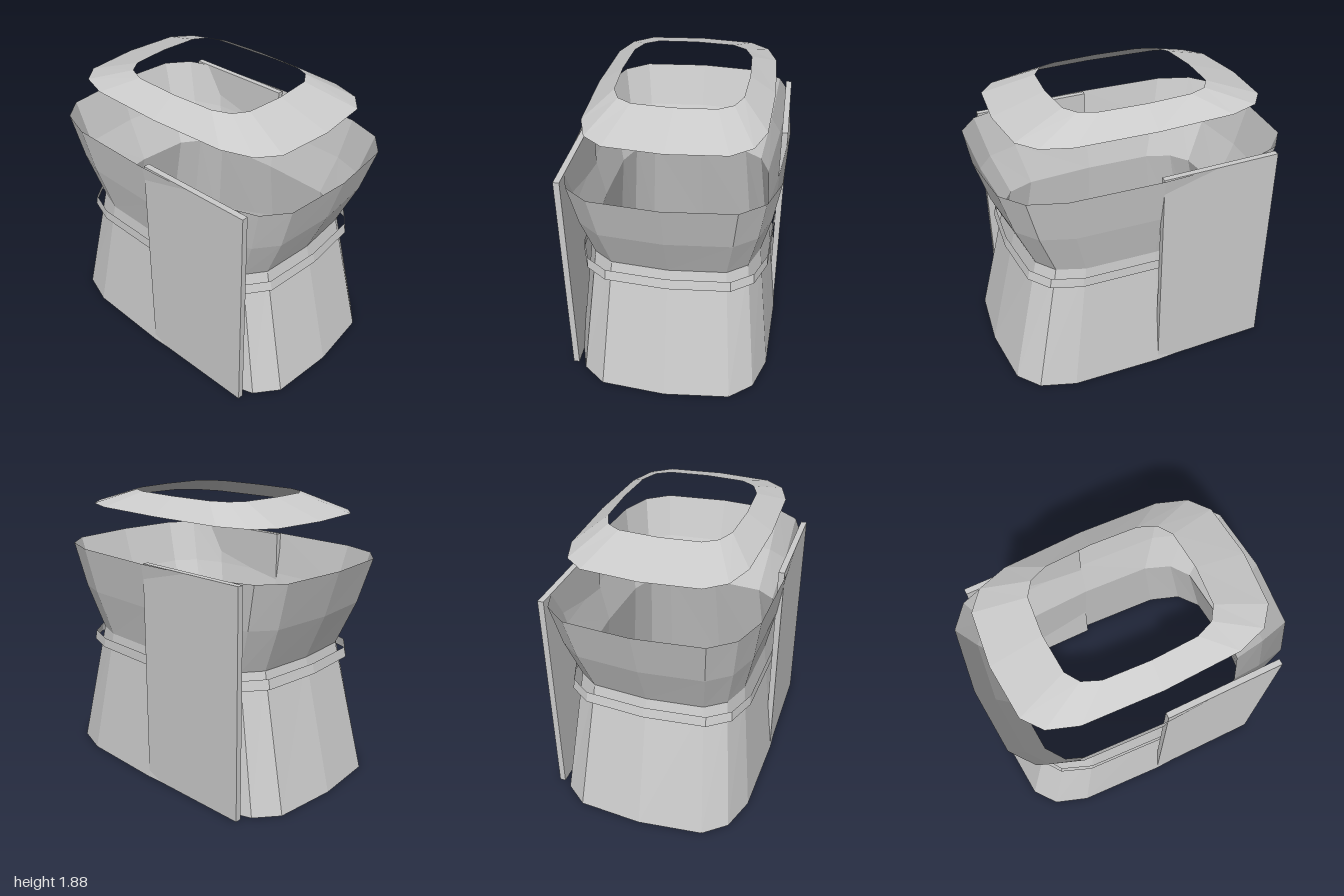
import * as THREE from 'three';

const material = new THREE.MeshStandardMaterial({
  color: 0xcccccc, flatShading: true, side: THREE.DoubleSide,
});

// One quarter of the rounded-rectangle outline, from +x round to just before +z
const QUARTER = [[1, 0], [0.96, 0.63], [0.84, 0.85], [0.61, 0.965]];

// Full 16-point outline, mirrored into four quadrants
function outline() {
  const q = QUARTER;
  const pts = [...q, [0, 1]];
  const half = [...pts, ...q.slice(1).reverse().map(([x, z]) => [-x, z])];
  return [...half, ...half.map(([x, z]) => [-x, -z])];
}

// Open shell lofted through rings given as [y, half width, half depth], bottom to top
function shell(name, rings) {
  const loop = outline();
  const n = loop.length;
  const positions = [];
  const indices = [];
  for (const [y, w, d] of rings) {
    for (const [x, z] of loop) positions.push(x * w, y, z * d);
  }
  for (let r = 0; r < rings.length - 1; r++) {
    for (let i = 0; i < n; i++) {
      const a = r * n + i;
      const b = r * n + (i + 1) % n;
      indices.push(a, a + n, b, b, a + n, b + n);
    }
  }
  const geometry = new THREE.BufferGeometry();
  geometry.setAttribute('position', new THREE.Float32BufferAttribute(positions, 3));
  geometry.setIndex(indices);
  geometry.computeVertexNormals();
  const mesh = new THREE.Mesh(geometry, material);
  mesh.name = name;
  return mesh;
}

// Flat upright slab
function panel(name, x, z) {
  const mesh = new THREE.Mesh(new THREE.BoxGeometry(0.8, 1.49, 0.04), material);
  mesh.position.set(x, 0.745, z);
  mesh.name = name;
  return mesh;
}

export function createModel() {
  const model = new THREE.Group();
  model.name = 'garment';

  // Flared skirt and bodice meeting at the waist
  model.add(shell('skirt', [[0, 1, 0.68], [0.89, 0.78, 0.58]]));
  model.add(shell('bodice', [[0.89, 0.78, 0.58], [1.19, 0.91, 0.645], [1.49, 1, 0.69]]));

  // Loose belt band
  model.add(shell('belt', [[0.795, 0.85, 0.635], [0.86, 0.835, 0.63]]));

  // Floating sloped collar
  model.add(shell('collar', [[1.77, 0.85, 0.577], [1.88, 0.5, 0.41]]));

  // Panels on opposite halves of the front and back
  model.add(panel('frontPanel', 0.4, 0.655));
  model.add(panel('backPanel', -0.4, -0.655));

  return model;
}
